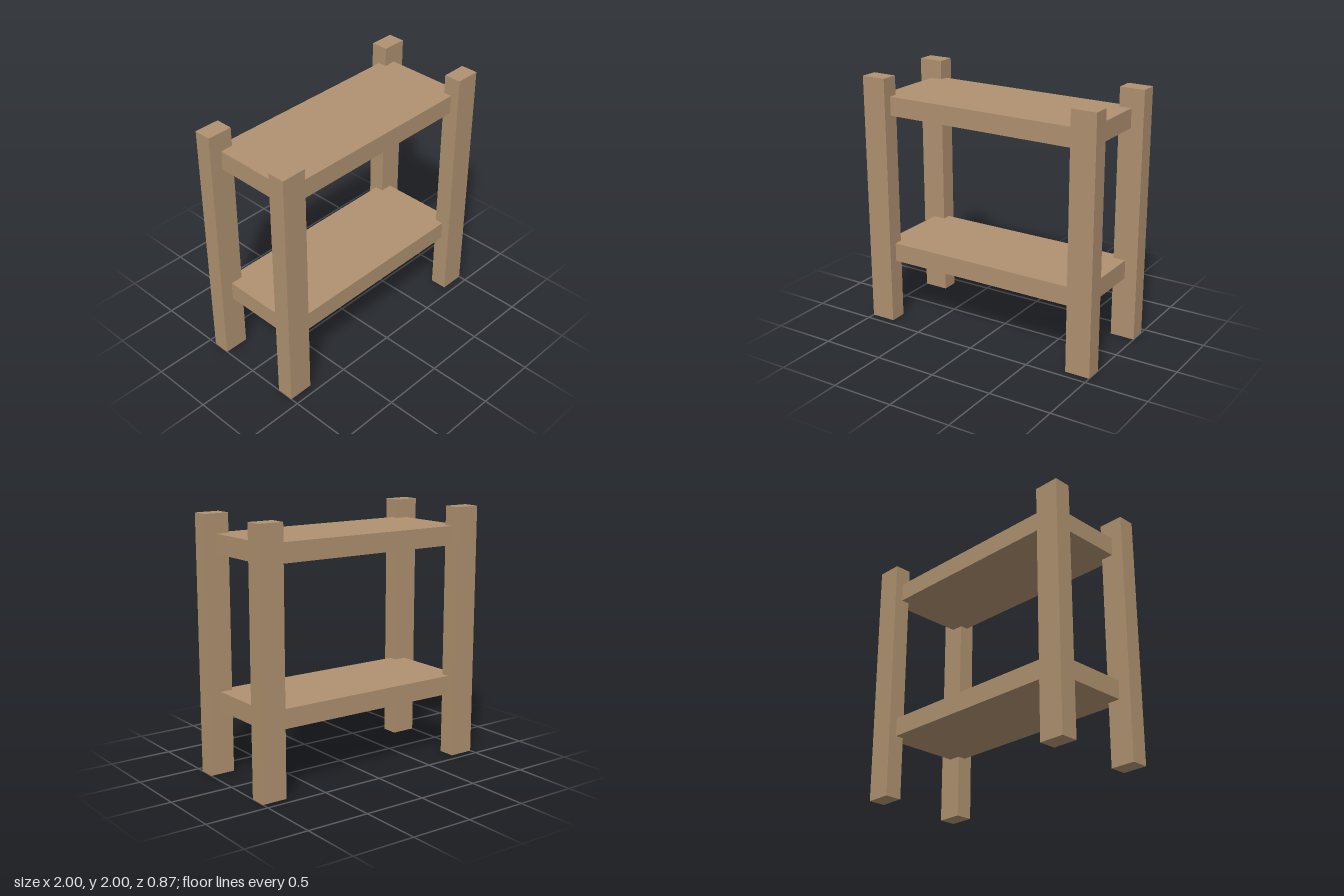
import * as THREE from 'three';

export function createModel() {
  const model = new THREE.Group();
  model.name = 'shelfRack';
  const wood = new THREE.MeshStandardMaterial({ color: 0xb09270 });
  wood.name = 'lightWood';

  const addBox = (name, size, position) => {
    const mesh = new THREE.Mesh(new THREE.BoxGeometry(...size), wood);
    mesh.name = name;
    mesh.position.set(...position);
    model.add(mesh);
  };

  // Four corner posts, full height
  for (const [side, sx] of [['Left', 1], ['Right', -1]]) {
    for (const [end, sz] of [['front', 1], ['back', -1]]) {
      addBox(`${end}${side}Post`, [0.2, 2, 0.137], [sx * 0.9, 1, sz * 0.3675]);
    }
  }

  // Two thick boards let into the posts
  addBox('lowerShelf', [1.8, 0.15, 0.735], [0, 0.575, 0]);
  addBox('upperShelf', [1.8, 0.15, 0.735], [0, 1.775, 0]);

  return model;
}
